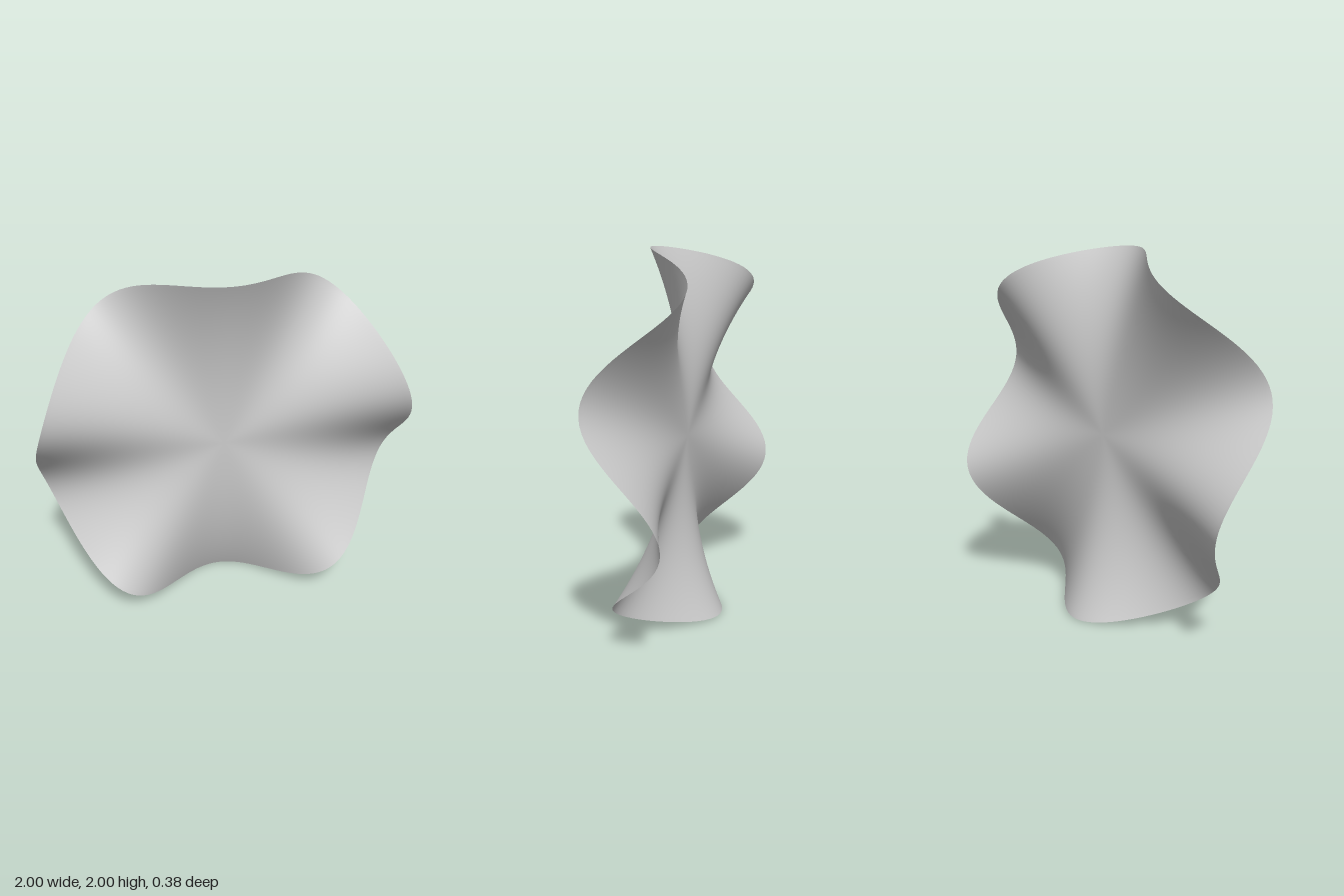
import * as THREE from 'three';
import { mergeVertices } from 'three/addons/utils/BufferGeometryUtils.js';

const WAVES = 5; // ripples around the rim
const HEIGHT = 0.192; // ripple height at the rim
const POWER = 2.4; // how quickly the ripples grow from the flat middle

export function createModel() {
  // Flat disc, rippled by a rule in polar coordinates
  let disc = new THREE.RingGeometry(0, 1, 180, 40);
  const p = disc.attributes.position;
  for (let i = 0; i < p.count; i++) {
    const r = Math.hypot(p.getX(i), p.getY(i));
    const angle = Math.atan2(p.getY(i), p.getX(i));
    p.setZ(i, HEIGHT * r ** POWER * Math.sin(WAVES * angle));
  }

  // Weld the seam and centre so the shading is smooth all round
  disc.deleteAttribute('uv');
  disc.deleteAttribute('normal');
  disc = mergeVertices(disc);
  disc.computeVertexNormals();

  const surface = new THREE.Mesh(
    disc,
    new THREE.MeshStandardMaterial({ color: 0xcccccc, side: THREE.DoubleSide })
  );
  surface.name = 'rippledDisc';
  surface.position.y = 1;

  const model = new THREE.Group();
  model.name = 'wavySurface';
  model.add(surface);
  return model;
}
